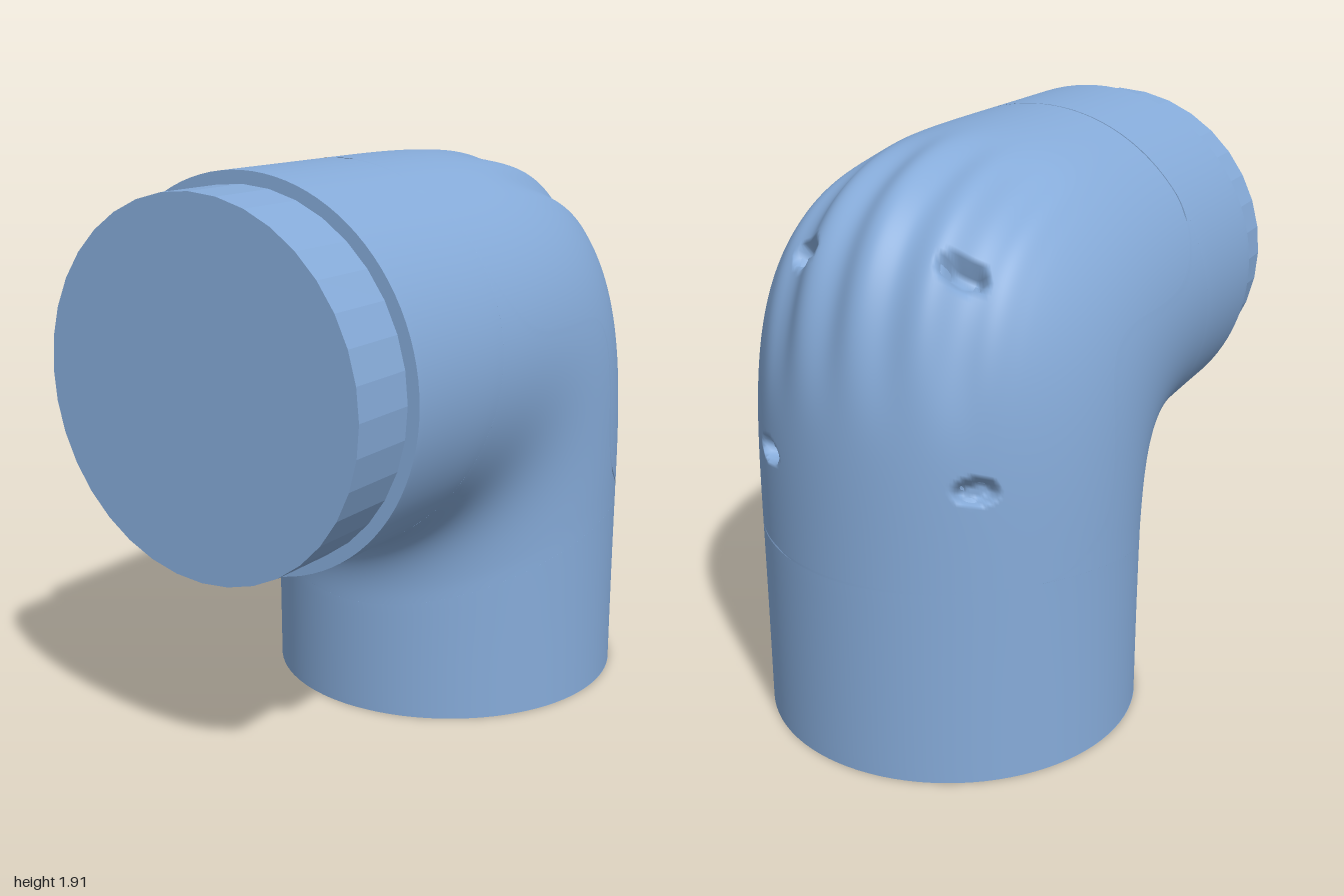
import * as THREE from 'three';
import { mergeVertices } from 'three/addons/utils/BufferGeometryUtils.js';

const { lerp, clamp, smoothstep } = THREE.MathUtils;
const DEG = Math.PI / 180;
const AXIS_Y = 1.285, AXIS_Z = -0.3725; // heights and depths of the two pipe axes

// Superelliptic quarter bend in the z-y plane, t from 0 (top) to 1 (side)
function bend(t, cz, cy, a, b, n) {
  const s = Math.sin(t * Math.PI / 2), c = Math.cos(t * Math.PI / 2);
  const r = 1 / Math.pow(s ** n + Math.abs(c) ** n, 1 / n);
  return [cz - a * s * r, cy + b * c * r];
}

// Profile: v -1..0 horizontal pipe, 0..1 elbow, 1..2 vertical pipe
function profile(v, endTop, endBottom, ...curve) {
  const p = bend(clamp(v, 0, 1), ...curve);
  if (v < 0) return [lerp(p[0], endTop[0], -v), lerp(p[1], endTop[1], -v)];
  if (v > 1) return [lerp(p[0], endBottom[0], v - 1), lerp(p[1], endBottom[1], v - 1)];
  return p;
}
const outer = v => profile(v, [0.765, 1.91], [-1, 0], 0.28, 0.65, 1.28, 1.26, 4);
const inner = v => profile(v, [0.765, 0.66], [0.255, 0], 0.48, 0.4, 0.225, 0.26, 2.6);

// Screw recesses (z, y), repeated on both sides
const recesses = [[-0.78, 1.605], [-0.88, 0.975]];

// Point on the elbow skin: u = angle from the outer crest, v = along the pipe
function skin(u, v, inset = 0, relief = false) {
  const Q = outer(v), P = inner(v), c = Math.cos(u), s = Math.sin(u);
  const xr = 0.625 + 0.006 * Math.exp(-(((v - 0.5) / 0.5) ** 2));
  const cz = (P[0] + Q[0]) / 2, cy = (P[1] + Q[1]) / 2;
  const hz = (Q[0] - P[0]) / 2, hy = (Q[1] - P[1]) / 2;
  let depth = inset;
  if (relief) {
    // soft flutes running over the corner
    const x = xr * s;
    const fade = Math.exp(-(((v - 0.5) / 0.2) ** 4)) * (1 - smoothstep(Math.abs(x), 0.33, 0.45));
    depth += 0.011 * (1 - Math.cos(x * Math.PI * 2 / 0.2)) * fade;
    for (const [z, y] of recesses) {
      const d = Math.hypot(cz + hz * c - z, cy + hy * c - y);
      depth += 0.05 * (1 - smoothstep(d, 0.028, 0.044));
    }
  }
  const k = 1 - depth / 0.63;
  // slide rings along the straight pipes so the seam ends stay square
  const slide = s * s * 0.35;
  return [
    xr * s * k,
    cy + hy * c * k + 0.25 * slide * Math.exp(-(((v - 1) / 0.15) ** 2)),
    cz + hz * c * k - 0.2 * slide * Math.exp(-((v / 0.15) ** 2)),
  ];
}

// Half-angle of the cover edge along the elbow, with rounded corners
function coverEdge(v) {
  const q = clamp(Math.min(v, 1 - v) / 0.28, 0, 1);
  const corner = 27 * (1 - Math.sqrt(1 - (1 - q) ** 2));
  return (81 - corner - 8 * Math.exp(-(((v - 0.5) / 0.12) ** 2))) * DEG;
}

// Grid surface from a rule (i, j in 0..1)
function patch(cols, rows, rule) {
  const pos = [], idx = [];
  for (let r = 0; r <= rows; r++)
    for (let c = 0; c <= cols; c++) {
      pos.push(...rule(c / cols, r / rows));
      if (r < rows && c < cols) {
        const a = r * (cols + 1) + c, d = a + cols + 1;
        idx.push(a, a + 1, d, a + 1, d + 1, d);
      }
    }
  let g = new THREE.BufferGeometry();
  g.setAttribute('position', new THREE.Float32BufferAttribute(pos, 3));
  g.setIndex(idx);
  g = mergeVertices(g, 1e-5);
  g.computeVertexNormals();
  return g;
}

export function createModel() {
  const group = new THREE.Group();
  group.name = 'pipeElbow';
  const smooth = new THREE.MeshStandardMaterial({ color: 0x86abd9, side: THREE.DoubleSide });
  const faceted = new THREE.MeshStandardMaterial({ color: 0x86abd9, flatShading: true });
  const add = (name, geometry, material = smooth) => {
    const mesh = new THREE.Mesh(geometry, material);
    mesh.name = name;
    group.add(mesh);
    return mesh;
  };
  const ease = t => (1 - Math.cos(Math.PI * t)) / 2;
  const ring = i => Math.PI * (2 * i - 1);

  // Pipe sleeves and the inside of the bend, left open for the cover
  add('horizontalSleeve', patch(96, 12, (i, j) => skin(ring(i), j - 1)));
  add('verticalSleeve', patch(96, 12, (i, j) => skin(ring(i), 1 + j)));
  add('innerBend', patch(80, 100, (i, j) => {
    const v = ease(j), e = coverEdge(v);
    return skin(lerp(e, 2 * Math.PI - e, i), v);
  }));

  // Back cover with flutes and screw recesses, separated by a fine gap
  add('backCover', patch(180, 180, (i, j) => {
    const t = ease(j), e = coverEdge(t) - 0.013;
    return skin(lerp(-e, e, i), lerp(0.004, 0.996, t), 0, true);
  }));
  add('seamFloor', patch(80, 80, (i, j) => {
    const t = ease(j), e = coverEdge(t) + 0.05;
    return skin(lerp(-e, e, i), lerp(-0.02, 1.02, t), 0.015, true);
  }));

  // End faces
  const frontFace = add('frontShoulder', new THREE.CircleGeometry(0.625, 96));
  frontFace.position.set(0, AXIS_Y, 0.765);
  const base = add('bottomFace', new THREE.CircleGeometry(0.626, 96));
  base.rotation.x = Math.PI / 2;
  base.position.set(0, 0, AXIS_Z);

  // Narrower spigot at the front
  const spigot = add('spigot', new THREE.CylinderGeometry(0.585, 0.585, 0.26, 36), faceted);
  spigot.rotation.x = Math.PI / 2;
  spigot.position.set(0, AXIS_Y, 0.87);

  return group;
}
